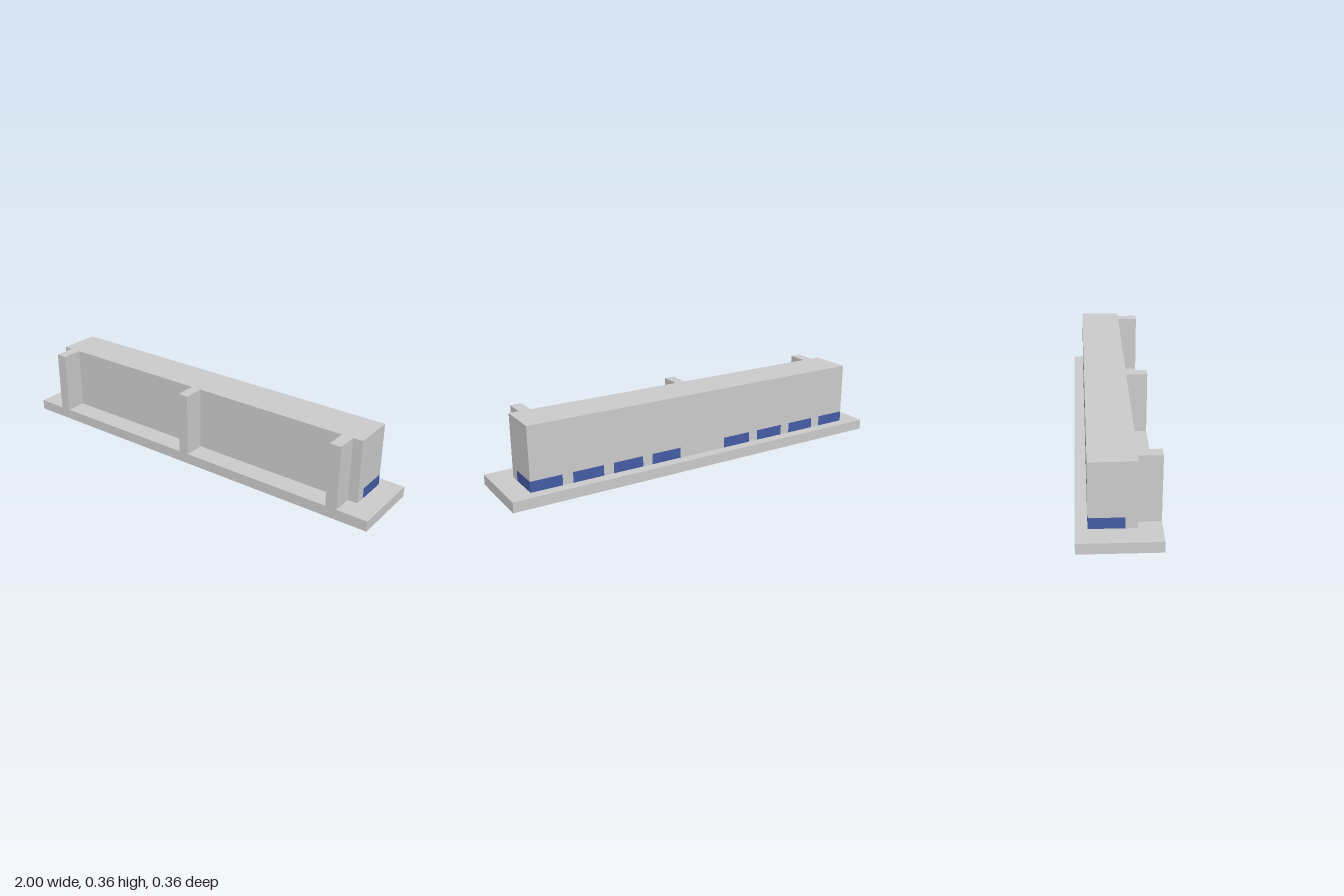
import * as THREE from 'three';

const GREY = new THREE.MeshStandardMaterial({ color: 0xcccccc, flatShading: true });
const BLUE = new THREE.MeshStandardMaterial({ color: 0x455ca6, flatShading: true });

const BASE_TOP = 0.051, BLOCK_TOP = 0.103, TOP = 0.36;
const BACK = -0.128, FACE = 0.077, FRONT = 0.18, HALF = 0.897;
const PITCH = 0.205, BLOCK = 0.154, BLOCK_FRONT = BACK + BLOCK;
const centres = [-4, -3, -2, -1, 1, 2, 3, 4].map((i) => i * PITCH);

// Extrudes a plan outline of [x, z] points from height y0 to y1
function slab(name, points, y0, y1, holes = []) {
  const toVectors = (list) => list.map(([x, z]) => new THREE.Vector2(x, -z));
  const shape = new THREE.Shape(toVectors(points));
  for (const hole of holes) shape.holes.push(new THREE.Path(toVectors(hole)));
  const geometry = new THREE.ExtrudeGeometry(shape, { depth: y1 - y0, bevelEnabled: false });
  geometry.rotateX(-Math.PI / 2).translate(0, y0, 0);
  const mesh = new THREE.Mesh(geometry, GREY);
  mesh.name = name;
  return mesh;
}

const rect = (x0, x1, z0, z1) => [[x0, z1], [x1, z1], [x1, z0], [x0, z0]];

// Front edge of the wall, left to right, stepping out round the three ribs
function ribbedFront() {
  const points = [[-HALF, FACE]];
  for (const [a, b] of [[-0.85, -0.795], [-0.026, 0.026], [0.795, 0.85]]) {
    points.push([a, FACE], [a, FRONT], [b, FRONT], [b, FACE]);
  }
  points.push([HALF, FACE]);
  return points;
}

// Back edge of the lower wall, right to left, notched where the blocks sit
function notchedBack() {
  const points = [];
  for (const c of [...centres].reverse()) {
    const a = c + BLOCK / 2, b = c - BLOCK / 2;
    if (c !== centres[7]) points.push([a, BACK]);
    points.push([a, BLOCK_FRONT], [b, BLOCK_FRONT]);
    if (c !== centres[0]) points.push([b, BACK]);
  }
  return points;
}

export function createModel() {
  const model = new THREE.Group();
  model.name = 'ribbedWallOnBase';

  // Base plate with square openings for the blocks
  const openings = centres.map((c) => rect(c - BLOCK / 2, c + BLOCK / 2, BACK, BLOCK_FRONT));
  model.add(slab('basePlate', rect(-1, 1, -0.18, FRONT), 0, BASE_TOP, openings));

  // Wall with its ribs, notched below and solid above
  model.add(slab('lowerWall', [...ribbedFront(), ...notchedBack()], BASE_TOP, BLOCK_TOP));
  model.add(slab('upperWall', [...ribbedFront(), [HALF, BACK], [-HALF, BACK]], BLOCK_TOP, TOP));

  // Blue blocks let through the base, flush with the back of the wall
  const blockGeometry = new THREE.BoxGeometry(BLOCK, BLOCK_TOP, BLOCK);
  const blocks = new THREE.Group();
  blocks.name = 'insertBlocks';
  for (const c of centres) {
    const block = new THREE.Mesh(blockGeometry, BLUE);
    block.name = 'insertBlock';
    block.position.set(c, BLOCK_TOP / 2, BACK + BLOCK / 2);
    blocks.add(block);
  }
  model.add(blocks);
  return model;
}
